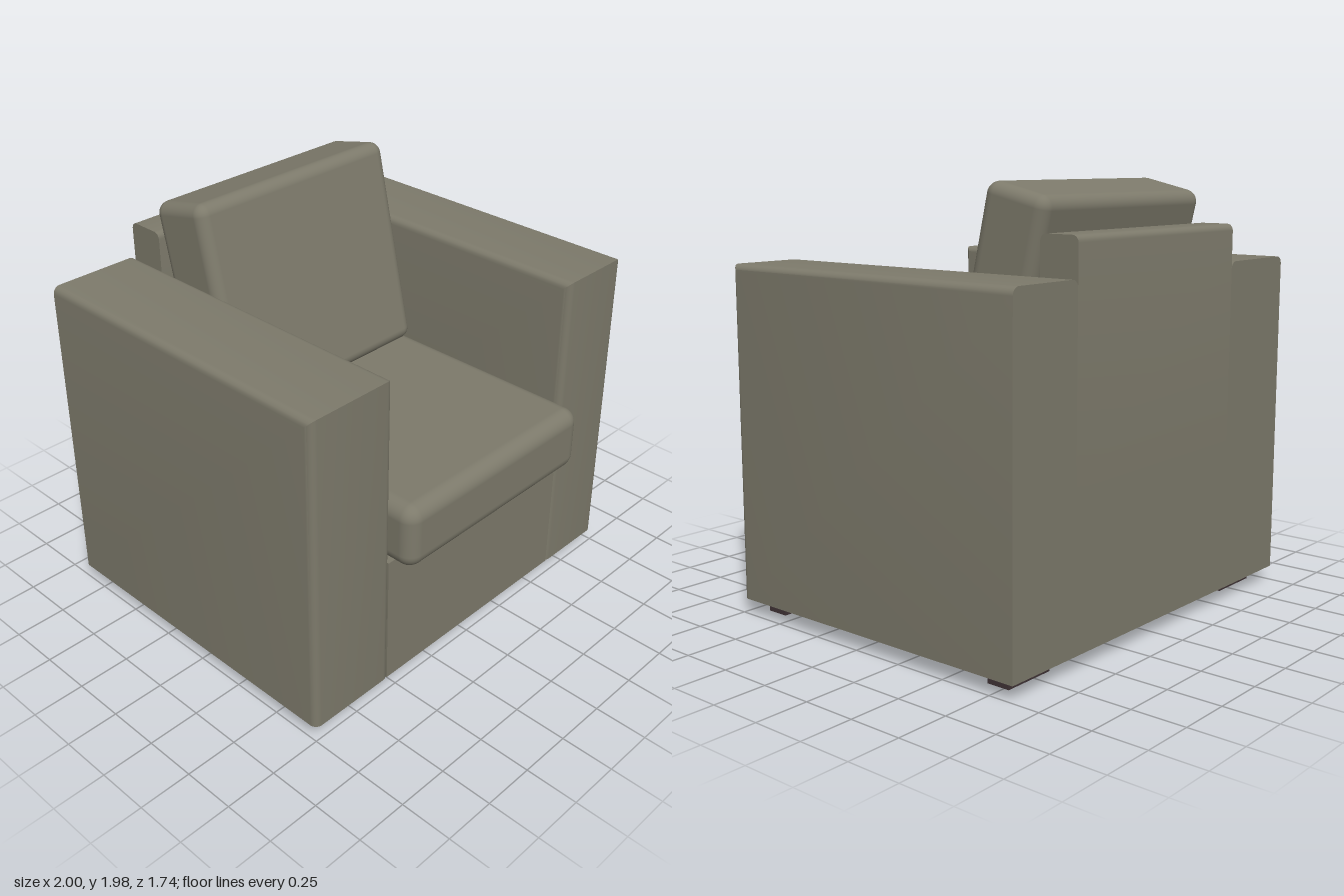
import * as THREE from 'three';
import { toCreasedNormals } from 'three/addons/utils/BufferGeometryUtils.js';
import { RoundedBoxGeometry } from 'three/addons/geometries/RoundedBoxGeometry.js';

const fabric = new THREE.MeshStandardMaterial({ color: 0x7d7a6b });
fabric.name = 'olive grey fabric';
const wood = new THREE.MeshStandardMaterial({ color: 0x403336 });
wood.name = 'dark wood';

// Box whose long top edges (and, optionally, upright front edges) are rounded
function softBox(w, h, d, r, roundFront) {
  const steps = 5;
  const columns = [];
  for (let i = 0; i <= steps; i++) columns.push(-w / 2 + r * (1 - Math.cos((i / steps) * Math.PI / 2)));
  for (let i = steps; i >= 0; i--) columns.push(-columns[i]);
  const n = columns.length - 1;
  const geo = new THREE.BoxGeometry(w, h, d, n, 1, 1);
  const p = geo.attributes.position;
  for (let i = 0; i < p.count; i++) {
    const x = columns[Math.round((p.getX(i) / w + 0.5) * n)];
    const inset = Math.max(0, r - (w / 2 - Math.abs(x)));
    const drop = r - Math.sqrt(Math.max(0, r * r - inset * inset));
    p.setX(i, x);
    if (p.getY(i) > 0) p.setY(i, h / 2 - drop);
    if (roundFront && p.getZ(i) > 0) p.setZ(i, d / 2 - drop);
  }
  return toCreasedNormals(geo, 0.6);
}

export function createModel() {
  const group = new THREE.Group();
  const add = (name, geo, mat, x, y, z) => {
    const mesh = new THREE.Mesh(geo, mat);
    mesh.name = name;
    mesh.position.set(x, y, z);
    group.add(mesh);
    return mesh;
  };

  // Arms, the right one slightly wider
  for (const [name, x0, x1] of [['rightArm', -1, -0.545], ['leftArm', 0.605, 1]]) {
    add(name, softBox(x1 - x0, 1.54, 1.62, 0.035, true), fabric, (x0 + x1) / 2, 0.84, -0.06);
  }

  // Seat base and backrest between the arms
  add('seatBase', new THREE.BoxGeometry(1.17, 0.64, 1.618), fabric, 0.03, 0.39, -0.061);
  const back = add('backrest', softBox(0.19, 1.08, 1.15, 0.03, false), fabric, 0.03, 1.24, -0.775);
  back.rotation.y = Math.PI / 2;

  // Cushions
  add('seatCushion', new RoundedBoxGeometry(1.165, 0.31, 1.54, 5, 0.07), fabric, 0.028, 0.865, 0.1);
  const cushion = add('backCushion', new RoundedBoxGeometry(1.15, 1.0, 0.33, 5, 0.055), fabric, 0.03, 1.468, -0.435);
  cushion.rotation.x = -0.227;

  // Feet
  for (const x of [-0.81, 0.78]) {
    for (const z of [0.62, -0.72]) add('foot', new THREE.BoxGeometry(0.26, 0.08, 0.11), wood, x, 0.04, z);
  }
  return group;
}
